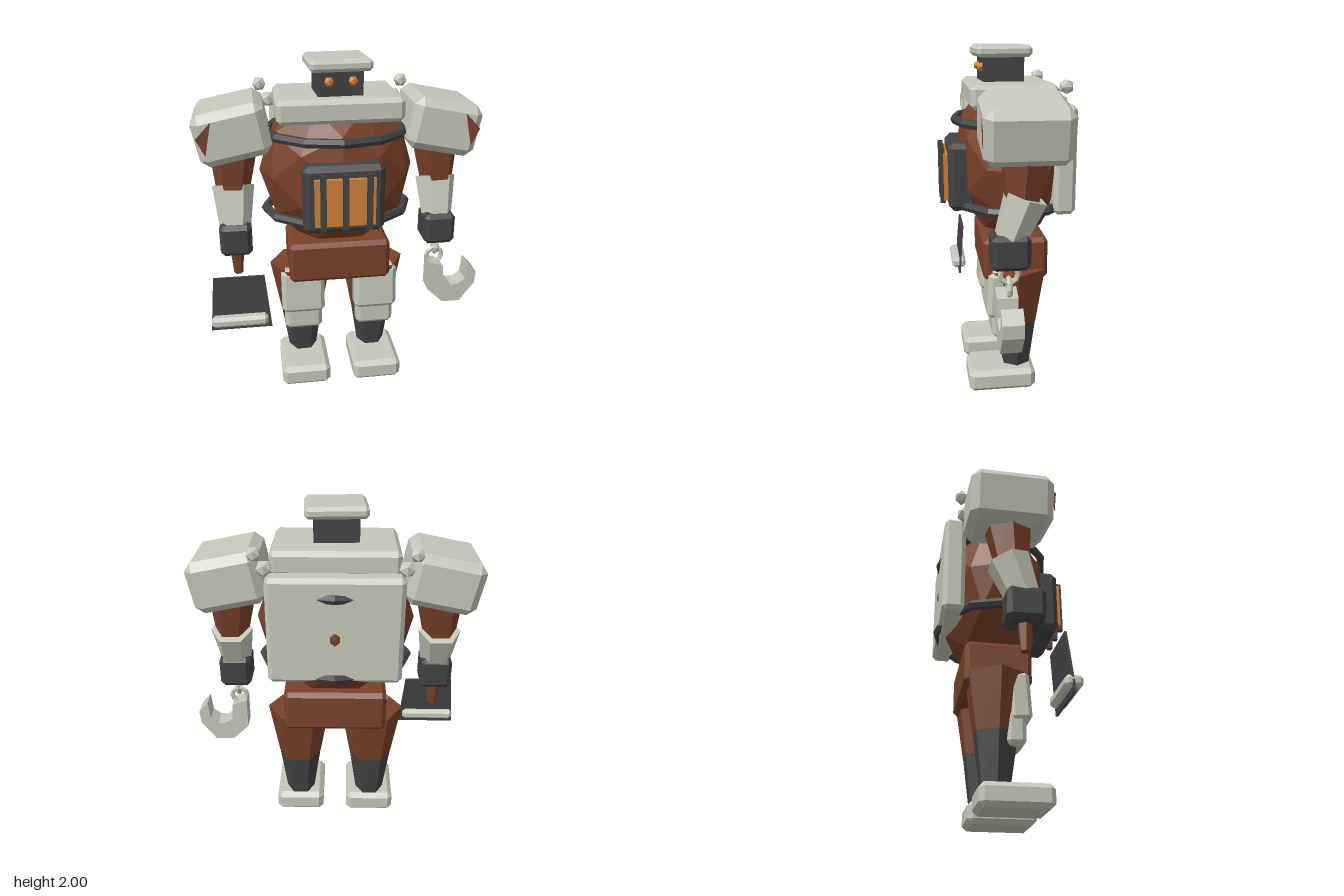
import * as THREE from 'three';
import { ConvexGeometry } from 'three/addons/geometries/ConvexGeometry.js';

const mat = (name, color, extra = {}) => {
  const m = new THREE.MeshStandardMaterial({ color, flatShading: true, ...extra });
  m.name = name;
  return m;
};

// Box with flat chamfered edges
function chamferBox(w, h, d, b) {
  const pts = [];
  for (const x of [-1, 1]) for (const y of [-1, 1]) for (const z of [-1, 1]) {
    const X = w / 2, Y = h / 2, Z = d / 2;
    pts.push(new THREE.Vector3(x * X, y * (Y - b), z * (Z - b)));
    pts.push(new THREE.Vector3(x * (X - b), y * Y, z * (Z - b)));
    pts.push(new THREE.Vector3(x * (X - b), y * (Y - b), z * Z));
  }
  return new ConvexGeometry(pts);
}

// Six-sided tapered limb between two points, corners towards +x and -x
function limb(a, b, ra, rb) {
  const from = new THREE.Vector3(...a), to = new THREE.Vector3(...b);
  const dir = from.clone().sub(to);
  const g = new THREE.CylinderGeometry(ra, rb, dir.length(), 6, 1, false, Math.PI / 2);
  g.applyQuaternion(new THREE.Quaternion().setFromUnitVectors(new THREE.Vector3(0, 1, 0), dir.normalize()));
  const c = from.add(to).multiplyScalar(0.5);
  return g.translate(c.x, c.y, c.z);
}

export function createModel() {
  const root = new THREE.Group();
  root.name = 'robot';
  const body = new THREE.Group();
  body.name = 'body';
  body.position.x = -0.027;
  root.add(body);

  const bone = mat('bone armour', 0xc4c7b8);
  const dark = mat('dark iron', 0x434345);
  const rust = mat('rust', 0x7a412a);
  const ember = mat('ember', 0xd0813a);
  const rustPaint = mat('rust', 0x7a412a, { side: THREE.DoubleSide });

  const add = (name, geo, material, x = 0, y = 0, z = 0, parent = body) => {
    const m = new THREE.Mesh(geo, material);
    m.name = name;
    m.position.set(x, y, z);
    parent.add(m);
    return m;
  };

  // Barrel torso and its hoops
  add('torso', new THREE.IcosahedronGeometry(1, 1).scale(0.45, 0.48, 0.333), rust, 0, 1.35, -0.035);
  for (const [y, r, s] of [[1.11, 0.42, 0.776], [1.58, 0.4, 0.81]]) {
    add('hoop', new THREE.TorusGeometry(r, 0.028, 6, 12).rotateX(Math.PI / 2).scale(1, 1, s), dark, 0, y, -0.035);
  }

  // Chest collar, back plate, pelvis
  add('collar', chamferBox(0.7, 0.135, 0.48, 0.025), bone, 0, 1.733, -0.02);
  add('backPlate', chamferBox(0.74, 0.61, 0.125, 0.025), bone, 0, 1.385, -0.298);
  add('pelvis', chamferBox(0.605, 0.25, 0.375, 0.025), rust, 0, 0.803, -0.033);

  // Head, hat and eyes
  const head = new THREE.Group();
  head.name = 'head';
  head.position.set(0, 1.8, 0.02);
  head.rotation.y = 0.05;
  body.add(head);
  add('face', new THREE.BoxGeometry(0.25, 0.16, 0.23), dark, 0, 0.06, 0, head);
  add('hat', chamferBox(0.345, 0.066, 0.31, 0.02), bone, 0, 0.167, 0, head);
  for (const s of [-1, 1]) {
    add('eye', new THREE.IcosahedronGeometry(0.028, 0), ember, s * 0.066, 0.08, 0.118, head);
  }

  // Furnace door with glowing panel and bars
  add('furnaceFrame', chamferBox(0.45, 0.39, 0.16, 0.03), dark, 0, 1.275, 0.26);
  add('furnaceGlow', new THREE.BoxGeometry(0.335, 0.27, 0.04), ember, 0, 1.27, 0.345);
  for (const x of [-0.122, 0, 0.132]) {
    add('furnaceBar', new THREE.BoxGeometry(0.032, 0.32, 0.03), dark, x, 1.277, 0.37);
  }

  for (const s of [-1, 1]) {
    const side = s > 0 ? 'left' : 'right';

    // Shoulder with a rust chip on the front
    const shoulder = new THREE.Group();
    shoulder.name = side + 'Shoulder';
    shoulder.position.set(s * 0.59, 1.612, -0.032);
    shoulder.rotation.z = -s * 0.2;
    body.add(shoulder);
    add('shoulderPad', chamferBox(0.4, 0.295, 0.455, 0.045), bone, 0, 0, 0, shoulder);
    const chip = new THREE.Shape([[0.085, 0.105], [0.187, 0.035], [0.16, -0.07]].map(
      ([x, y]) => new THREE.Vector2(s * x, y)));
    add('rustChip', new THREE.ShapeGeometry(chip), rustPaint, 0, 0, 0.231, shoulder);

    // Rivet balls behind the collar
    add('upperRivet', new THREE.IcosahedronGeometry(0.042, 0), bone, s * 0.424, 1.795, -0.275);
    add('lowerRivet', new THREE.IcosahedronGeometry(0.048, 0), bone, s * 0.375, 1.71, -0.25);

    // Arm
    add(side + 'UpperArm', limb([s * 0.585, 1.6, -0.04], [s * 0.61, 1.2, -0.01], 0.155, 0.09), rust);
    add(side + 'Forearm', limb([s * 0.606, 1.26, -0.035], [s * 0.606, 1.04, 0.045], 0.122, 0.092), bone);
    add(side + 'Fist', chamferBox(0.185, 0.19, 0.205, 0.025), dark, s * 0.606, 0.975, 0.047);

    // Leg with plates
    add(side + 'Thigh', limb([s * 0.223, 0.74, -0.035], [s * 0.223, 0.41, -0.04], 0.19, 0.13), rust);
    add(side + 'Shin', limb([s * 0.223, 0.42, -0.04], [s * 0.223, 0.11, -0.043], 0.13, 0.085), dark);
    const guard = add(side + 'ThighGuard', chamferBox(0.26, 0.28, 0.12, 0.025), bone, s * 0.223, 0.6, 0.075);
    guard.rotation.x = -0.06;
    add(side + 'KneeGuard', chamferBox(0.23, 0.19, 0.11, 0.025), bone, s * 0.223, 0.425, 0.055);
    add(side + 'Foot', chamferBox(0.297, 0.13, 0.395, 0.028), bone, s * 0.223, 0.065, 0.052);
  }

  // Cleaver in the right hand
  add('cleaverHandle', limb([-0.606, 0.9, 0.05], [-0.606, 0.73, 0.05], 0.042, 0.027), rust);
  const blade = new THREE.Shape([[-0.178, -0.165], [0.178, -0.165], [0.147, 0.165], [-0.147, 0.165]].map(
    ([x, y]) => new THREE.Vector2(x, y)));
  const bladeGeo = new THREE.ExtrudeGeometry(blade, { depth: 0.012, bevelEnabled: false }).translate(0, 0, -0.006);
  add('cleaverBlade', bladeGeo, dark, -0.602, 0.625, 0.235).rotation.x = -0.08;
  add('cleaverEdge', chamferBox(0.328, 0.065, 0.092, 0.018), bone, -0.61, 0.523, 0.25);

  // Chain and hook on the left hand
  add('chainLink', new THREE.TorusGeometry(0.047, 0.015, 5, 10).rotateY(Math.PI / 2), bone, 0.604, 0.835, 0.05);
  add('chainLink', new THREE.TorusGeometry(0.047, 0.015, 5, 10), bone, 0.604, 0.765, 0.05);
  const hook = new THREE.Shape([
    [0.557, 0.747], [0.557, 0.556], [0.657, 0.46], [0.767, 0.46], [0.857, 0.583], [0.863, 0.66],
    [0.805, 0.726], [0.794, 0.615], [0.747, 0.578], [0.704, 0.578], [0.657, 0.61], [0.647, 0.715],
  ].map(([x, y]) => new THREE.Vector2(x, y)));
  add('hook', new THREE.ExtrudeGeometry(hook, { depth: 0.115, bevelEnabled: false }), bone, 0, 0, 0.005);

  return root;
}
